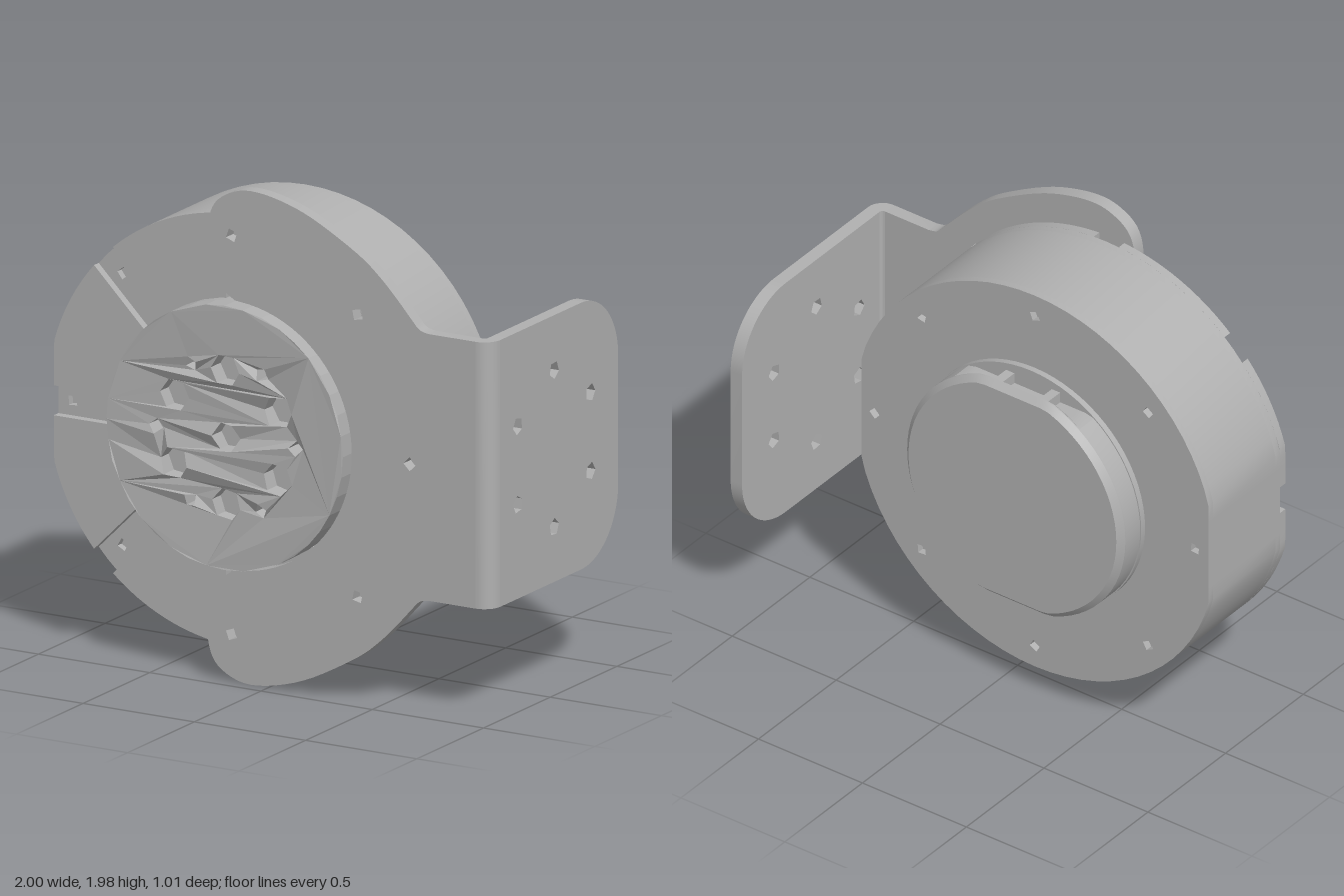
import * as THREE from 'three';
import { toCreasedNormals } from 'three/addons/utils/BufferGeometryUtils.js';

const CX = -0.165, CY = 0.995, R = 0.867;
const V = (x, y) => new THREE.Vector2(x, y);
const polar = (r, a) => V(r * Math.cos(a), r * Math.sin(a));
const deg = Math.PI / 180;

// points along an arc about the motor axis
const arc = (r, a0, a1, n) =>
  Array.from({ length: n + 1 }, (_, i) => polar(r, a0 + (a1 - a0) * i / n));
const circle = (r, n = 72) => arc(r, 0, 2 * Math.PI * (1 - 1 / n), n - 1);

// the housing has flats on its left and right sides
const clipX = pts => pts.map(p => V(Math.max(-0.835, Math.min(0.835, p.x)), p.y));
// chords cut off top and bottom
const clipY = (pts, h) => pts.map(p => V(p.x, Math.max(-h, Math.min(h, p.y))));

function addHole(shape, x, y, r, n = 5, turn = 0) {
  shape.holes.push(new THREE.Path(Array.from({ length: n }, (_, i) => {
    const p = polar(r, turn - i * 2 * Math.PI / n);
    return V(x + p.x, y + p.y);
  })));
}

// slab from z0 to z1, optionally with chamfered edges
function slab(shape, z0, z1, bevel = 0) {
  const g = new THREE.ExtrudeGeometry(shape, {
    depth: z1 - z0 - 2 * bevel, bevelEnabled: bevel > 0, bevelSize: bevel,
    bevelThickness: bevel, bevelOffset: -bevel, bevelSegments: 1, curveSegments: 12
  });
  g.translate(0, 0, z0 + bevel);
  return toCreasedNormals(g, 0.4);
}

export function createModel() {
  const model = new THREE.Group();
  model.name = 'motorWithBracket';
  const grey = new THREE.MeshStandardMaterial({ color: 0xb0b0b0 });
  grey.name = 'metal grey';

  const motor = new THREE.Group();
  motor.name = 'motor';
  motor.position.set(CX, CY, 0);
  const bracket = new THREE.Group();
  bracket.name = 'bracket';
  bracket.position.y = CY;
  model.add(motor, bracket);
  const add = (parent, name, geometry) => {
    const m = new THREE.Mesh(geometry, grey);
    m.name = name;
    parent.add(m);
    return m;
  };

  // housing: solid core between two plates with screw holes
  const outline = clipX(circle(R));
  add(motor, 'housingCore', slab(new THREE.Shape(outline), -0.08, 0.32));
  for (const [name, z0, z1] of [['housingBack', -0.11, -0.08], ['slotFloor', 0.32, 0.35]]) {
    const s = new THREE.Shape(outline);
    for (let k = 0; k < 8; k++) {
      const p = polar(0.77, k * 45 * deg);
      addHole(s, p.x, p.y, 0.026, 4, k);
    }
    add(motor, name, slab(s, z0, z1));
  }

  // raised front sectors leave eight radial slots between them
  const w = 0.06, rIn = 0.45;
  for (let k = 0; k < 8; k++) {
    const a0 = k * 45 * deg, a1 = a0 + 45 * deg;
    const dOut = Math.asin(w / R), dIn = Math.asin(w / rIn);
    const pts = [
      ...clipX(arc(R, a0 + dOut, a1 - dOut, 12)),
      ...arc(rIn, a1 - dIn, a0 + dIn, 6)
    ];
    add(motor, 'frontSector', slab(new THREE.Shape(pts), 0.35, 0.385));
  }

  // output hub with bolt holes and an uneven faceted face
  const hub = new THREE.Shape(circle(0.53, 40));
  addHole(hub, 0, 0, 0.06, 6);
  for (let k = 0; k < 6; k++) {
    const big = polar(0.27, (30 + k * 60) * deg), small = polar(0.315, k * 60 * deg);
    addHole(hub, big.x, big.y, 0.065, 6, k);
    addHole(hub, small.x, small.y, 0.03, 4, k);
  }
  const hubGeo = new THREE.ExtrudeGeometry(hub, { depth: 0.08, bevelEnabled: false });
  hubGeo.translate(0, 0, 0.42);
  const pos = hubGeo.attributes.position;
  for (let i = 0; i < pos.count; i++) {
    if (pos.getZ(i) < 0.45) continue;
    const x = pos.getX(i), y = pos.getY(i);
    const rim = Math.hypot(x, y) > 0.5;
    pos.setZ(i, 0.5 - (rim ? 0.006 : 0.025) * (0.5 + 0.5 * Math.sin(x * 37 + y * 53)));
  }
  hubGeo.computeVertexNormals();
  add(motor, 'hubFace', hubGeo);
  add(motor, 'hubBase', slab(new THREE.Shape(circle(0.53, 40)), 0.34, 0.42));

  // rear boss with pockets above and below, under a chamfered cap
  add(motor, 'rearBossBase', slab(new THREE.Shape(circle(0.53)), -0.135, -0.1));
  add(motor, 'rearBossWall',
    slab(new THREE.Shape(clipY(circle(0.525), 0.44)), -0.225, -0.135));
  const cap = new THREE.Shape(clipY(circle(0.525), 0.5));
  add(motor, 'rearCap', slab(cap, -0.255, -0.2, 0.025));
  for (const sy of [-1, 1]) {
    for (const x of [-0.12, 0.1]) {
      const rib = add(motor, 'pocketRib', new THREE.BoxGeometry(0.04, 0.05, 0.09));
      rib.position.set(x, sy * 0.46, -0.18);
    }
  }

  // bracket front plate: two rounded lobes hugging the hub
  const upper = new THREE.SplineCurve([
    [0.72, 0.535], [0.68, 0.545], [0.645, 0.58], [0.58, 0.652], [0.5, 0.732], [0.4, 0.81],
    [0.2, 0.92], [0.05, 0.972], [-0.08, 0.99], [-0.17, 0.97], [-0.24, 0.92], [-0.27, 0.84],
    [-0.27, 0.74], [-0.245, 0.64], [-0.2, 0.575], [-0.15, 0.541]
  ].map(p => V(...p))).getPoints(60);
  const half = [V(0.93, 0.535), ...upper];
  const inner = arc(0.54, 86 * deg, -86 * deg, 40).map(p => V(p.x + CX, p.y));
  const lower = half.map(p => V(p.x, -p.y)).reverse();
  const plate = new THREE.Shape([...half, ...inner, ...lower]);
  for (let k = -2; k <= 2; k++) {
    const p = polar(0.8, k * 45 * deg);
    addHole(plate, p.x + CX, p.y, 0.028, 4, k);
  }
  add(bracket, 'frontPlate', slab(plate, 0.39, 0.445));

  // rounded bend
  const bend = new THREE.Shape([
    ...arc(0.07, 0, 90 * deg, 8), ...arc(0.015, 90 * deg, 0, 4)
  ]);
  const bendGeo = slab(bend, 0, 1.07);
  bendGeo.rotateX(Math.PI / 2);
  bendGeo.translate(0.93, 0.535, 0.375);
  add(bracket, 'bend', bendGeo);

  // side flange with rounded rear corners and six holes
  const h = 0.535, end = 0.51, r = 0.28;
  const side = new THREE.Shape();
  side.moveTo(-0.375, -h);
  side.lineTo(end - r, -h);
  side.absarc(end - r, -h + r, r, -Math.PI / 2, 0, false);
  side.lineTo(end, h - r);
  side.absarc(end - r, h - r, r, 0, Math.PI / 2, false);
  side.lineTo(-0.375, h);
  for (let k = 0; k < 6; k++) {
    const p = polar(0.315, (30 + k * 60) * deg);
    addHole(side, p.x + 0.03, p.y, 0.036, 5, k);
  }
  const sideGeo = slab(side, 0, 0.055);
  sideGeo.rotateY(Math.PI / 2);
  sideGeo.translate(0.945, 0, 0);
  add(bracket, 'sideFlange', sideGeo);

  return model;
}
